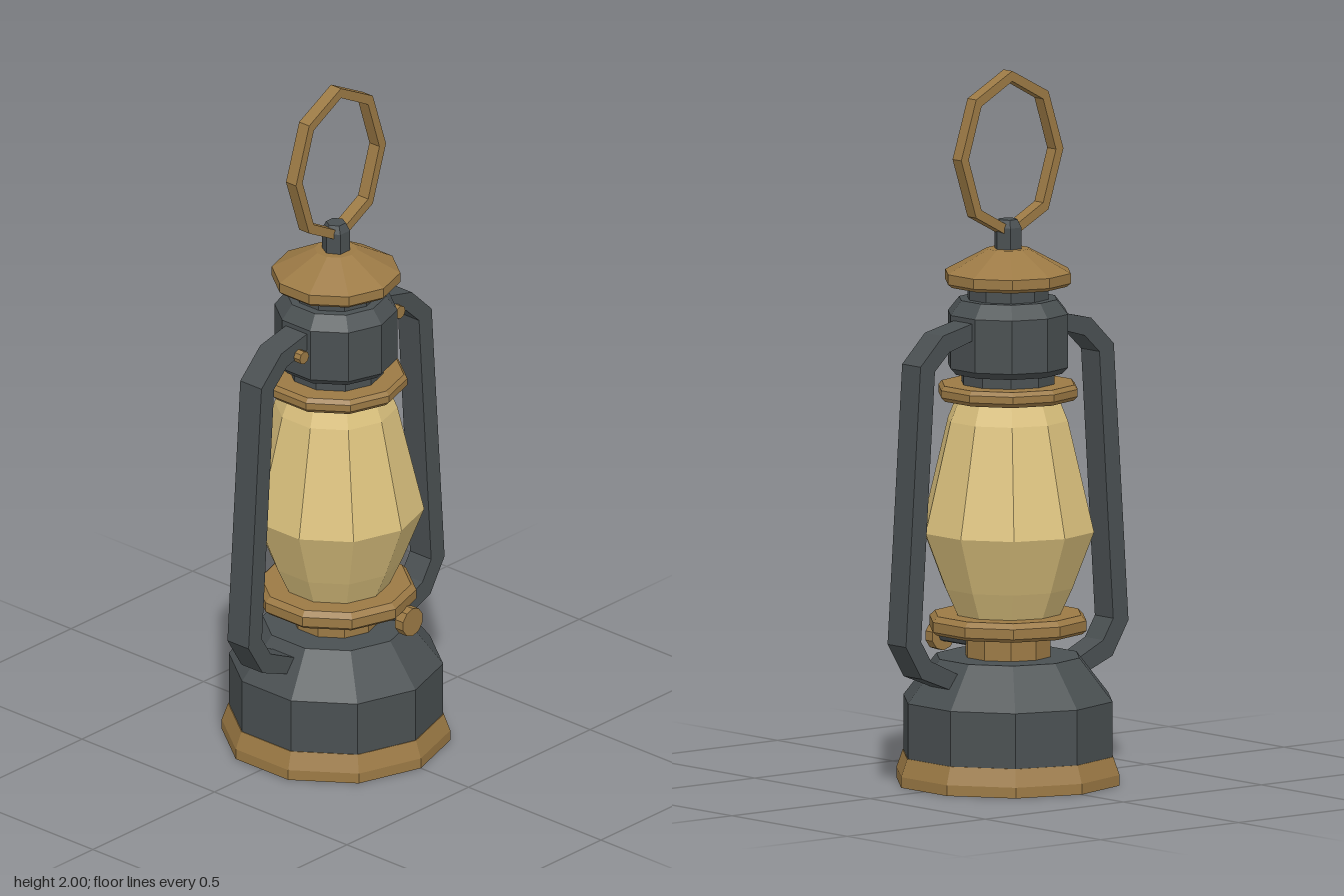
import * as THREE from 'three';

export function createModel() {
  const model = new THREE.Group();
  model.name = 'lantern';

  const makeMaterial = (name, color) => {
    const m = new THREE.MeshStandardMaterial({ color, flatShading: true });
    m.name = name;
    return m;
  };
  const iron = makeMaterial('dark iron', 0x4a5052);
  const brass = makeMaterial('brass', 0x9c7a45);
  const glass = makeMaterial('amber glass', 0xdcc27e);

  function add(name, geometry, material) {
    const mesh = new THREE.Mesh(geometry, material);
    mesh.name = name;
    model.add(mesh);
    return mesh;
  }

  // Closed turned part from [radius, y] pairs, bottom to top
  function turned(name, material, profile, sides = 10) {
    const pts = [[0, profile[0][1]], ...profile, [0, profile[profile.length - 1][1]]];
    return add(name, new THREE.LatheGeometry(pts.map(([r, y]) => new THREE.Vector2(r, y)), sides), material);
  }

  // Flat bar cut from a shape, centred on z = 0
  function plate(name, material, shape, depth) {
    const geo = new THREE.ExtrudeGeometry(shape, { depth, bevelEnabled: false });
    geo.translate(0, 0, -depth / 2);
    return add(name, geo, material);
  }

  // Base and fuel tank
  turned('baseRim', brass, [[0.32, 0], [0.32, 0.03], [0.302, 0.08]]);
  turned('fuelTank', iron, [[0.3, 0.07], [0.3, 0.235], [0.205, 0.355]]);

  // Burner and globe
  turned('burnerNeck', brass, [[0.122, 0.35], [0.122, 0.43]]);
  turned('burnerCollar', brass, [[0.213, 0.422], [0.225, 0.432], [0.225, 0.46], [0.21, 0.475]]);
  turned('globe', glass, [[0.148, 0.47], [0.185, 0.55], [0.247, 0.71], [0.172, 1.02], [0.145, 1.085]]);
  turned('globeCollar', brass, [[0.188, 1.078], [0.2, 1.09], [0.2, 1.11], [0.19, 1.122]]);

  // Chimney and cap
  turned('chimneyNeck', iron, [[0.133, 1.115], [0.133, 1.165]]);
  turned('chimney', iron, [[0.155, 1.152], [0.172, 1.17], [0.172, 1.32], [0.14, 1.36]]);
  turned('chimneyThroat', iron, [[0.116, 1.35], [0.116, 1.41]]);
  turned('cap', brass, [[0.168, 1.397], [0.18, 1.407], [0.18, 1.435], [0.06, 1.5]]);
  turned('finial', iron, [[0.04, 1.48], [0.04, 1.56], [0.028, 1.582]], 6).rotation.y = Math.PI / 2;

  // Eight-sided carrying ring
  const octagon = (rx, ry, PathType) => new PathType(Array.from({ length: 8 }, (_, i) => {
    const a = (i * Math.PI) / 4;
    return new THREE.Vector2(rx * Math.cos(a), 1.765 + ry * Math.sin(a));
  }));
  const ring = octagon(0.185, 0.235, THREE.Shape);
  ring.holes.push(octagon(0.158, 0.206, THREE.Path));
  plate('carryingRing', brass, ring, 0.038);

  // Side arms with their screws
  const armOutline = [
    [0.15, 1.31], [0.268, 1.283], [0.35, 1.203], [0.403, 0.42], [0.345, 0.325], [0.225, 0.278],
    [0.205, 0.322], [0.312, 0.372], [0.348, 0.43], [0.298, 1.185], [0.245, 1.235], [0.15, 1.262],
  ];
  for (const [side, s] of [['left', 1], ['right', -1]]) {
    plate(side + 'Arm', iron, new THREE.Shape(armOutline.map(([x, y]) => new THREE.Vector2(s * x, y))), 0.08);
    const screw = add(side + 'Screw', new THREE.CylinderGeometry(0.019, 0.019, 0.025, 8), brass);
    screw.rotation.x = Math.PI / 2;
    screw.position.set(s * 0.198, 1.253, 0.05);
  }

  // Wick adjuster
  const stem = add('wickStem', new THREE.CylinderGeometry(0.016, 0.016, 0.13, 8), iron);
  stem.rotation.x = Math.PI / 2;
  stem.position.set(0.07, 0.395, 0.14);
  const knob = add('wickKnob', new THREE.CylinderGeometry(0.042, 0.042, 0.03, 10), brass);
  knob.rotation.x = Math.PI / 2;
  knob.position.set(0.07, 0.395, 0.211);

  return model;
}
